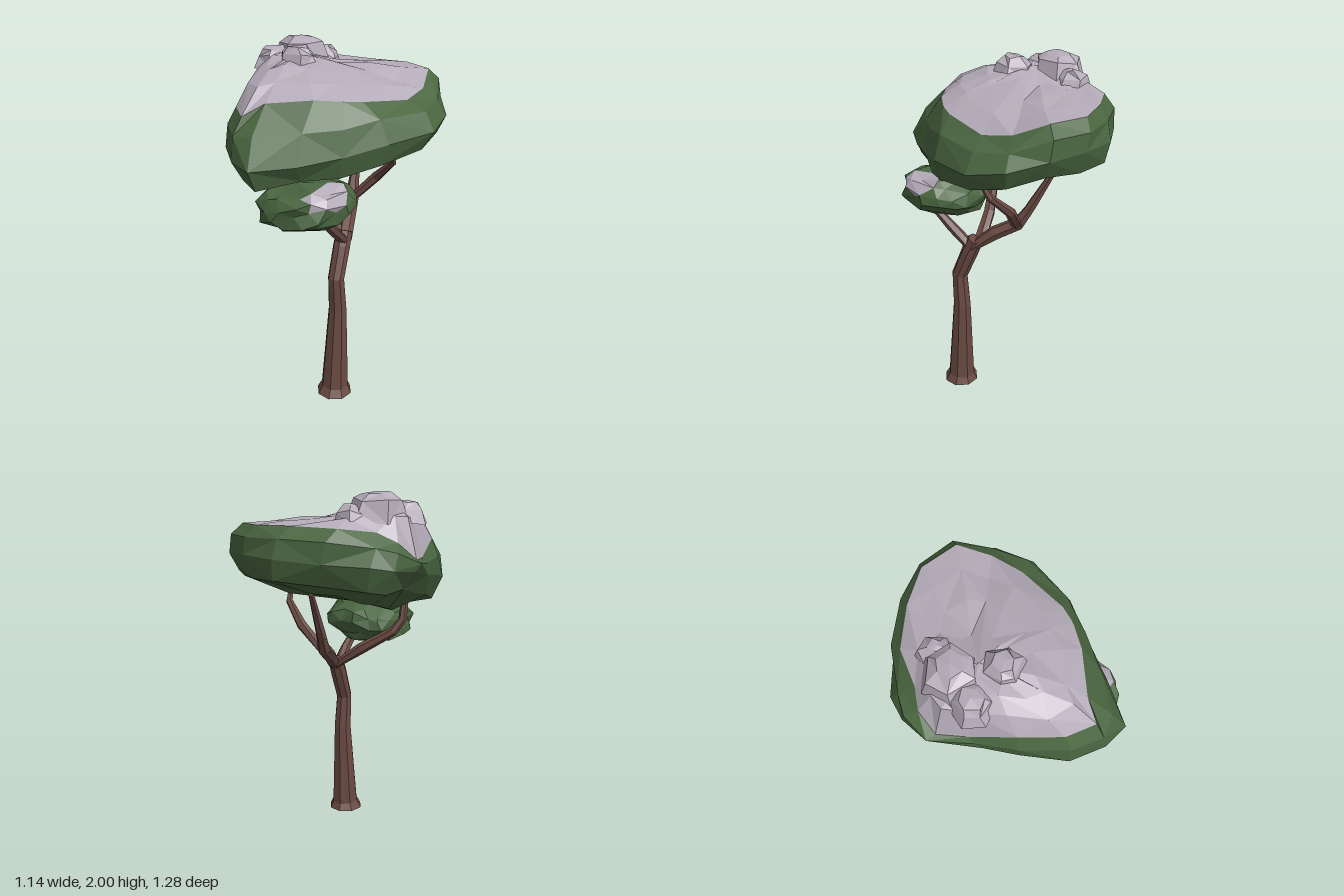
import * as THREE from 'three';

const bark = new THREE.MeshStandardMaterial({ color: 0x6a4a43 });
bark.name = 'bark brown';
const leaf = new THREE.MeshStandardMaterial({ color: 0x4a6640 });
leaf.name = 'leaf green';
const snow = new THREE.MeshStandardMaterial({ color: 0xb4abb8 });
snow.name = 'pale lavender';

const V = (x, y, z) => new THREE.Vector3(x, y, z);
const clamp01 = (t) => Math.min(1, Math.max(0, t));

// repeatable offset in -0.5..0.5 from a position
function hash(p, k) {
  const s = Math.sin(p.x * 127.1 + p.y * 311.7 + p.z * 74.7 + k * 53.3) * 43758.5453;
  return s - Math.floor(s) - 0.5;
}

function jitter(p, a) {
  const q = V(Math.round(p.x * 1e3) / 1e3 + 0, Math.round(p.y * 1e3) / 1e3 + 0, Math.round(p.z * 1e3) / 1e3 + 0);
  return V(p.x + hash(q, 1) * a, p.y + hash(q, 2) * a, p.z + hash(q, 3) * a);
}

// faceted mesh from a list of triangle corners
function facets(name, pts, material) {
  const g = new THREE.BufferGeometry().setFromPoints(pts);
  g.computeVertexNormals();
  const m = new THREE.Mesh(g, material);
  m.name = name;
  return m;
}

// skin over rings listed from bottom to top; a ring of one point closes an end
function loft(name, rings, material) {
  const n = Math.max(...rings.map((r) => r.length));
  const at = (r, i) => r[i % r.length];
  const out = [];
  for (let k = 0; k + 1 < rings.length; k++) {
    const lo = rings[k], hi = rings[k + 1];
    for (let i = 0; i < n; i++) {
      const a = at(lo, i), b = at(lo, i + 1), c = at(hi, i), d = at(hi, i + 1);
      if (lo.length === 1) out.push(a, c, d);
      else if (hi.length === 1) out.push(a, c, b);
      else if ((i + k) % 2) out.push(a, c, b, b, c, d);
      else out.push(a, c, d, a, d, b);
    }
  }
  return facets(name, out, material);
}

// tapered limb through [x, y, z, radius] stations
function limb(name, stations, sides) {
  const p = stations.map((s) => V(s[0], s[1], s[2]));
  const up = V(0, 1, 0);
  const rings = stations.map((s, i) => {
    const dir = p[Math.min(i + 1, p.length - 1)].clone().sub(p[Math.max(i - 1, 0)]).normalize();
    const q = new THREE.Quaternion();
    if (i > 0) q.setFromUnitVectors(up, dir);
    return Array.from({ length: sides }, (_, j) => {
      const a = ((j + 0.5) / sides) * Math.PI * 2;
      return V(Math.cos(a) * s[3], 0, Math.sin(a) * s[3]).applyQuaternion(q).add(p[i]);
    });
  });
  return loft(name, [[p[0]], ...rings, [p[p.length - 1]]], bark);
}

function buildWood() {
  const g = new THREE.Group();
  g.name = 'wood';
  g.add(
    limb('trunk', [[0.223, 0, 0.16, 0.104], [0.223, 0.045, 0.155, 0.081], [0.222, 0.55, 0.135, 0.053],
      [0.22, 0.75, 0.148, 0.047], [0.2, 0.92, 0.08, 0.049], [0.19, 1.0, 0.045, 0.045]], 8),
    limb('backBranch', [[0.2, 0.95, 0.06, 0.043], [0.14, 1.05, -0.05, 0.04],
      [0.07, 1.12, -0.165, 0.038], [0.04, 1.2, -0.21, 0.029]], 6),
    limb('backRightTwig', [[0.07, 1.1, -0.16, 0.034], [0.03, 1.24, -0.23, 0.028], [-0.02, 1.46, -0.34, 0.016]], 6),
    limb('backLeftTwig', [[0.07, 1.1, -0.16, 0.034], [0.2, 1.25, -0.215, 0.029], [0.33, 1.37, -0.19, 0.02],
      [0.36, 1.47, -0.14, 0.014]], 6),
    limb('sideBranch', [[0.18, 0.97, 0.03, 0.039], [0.02, 1.09, 0.09, 0.033], [-0.14, 1.2, 0.19, 0.027],
      [-0.175, 1.27, 0.23, 0.025], [-0.17, 1.42, 0.26, 0.021]], 6),
    limb('frontBranch', [[0.2, 0.94, 0.06, 0.037], [0.235, 1.05, 0.18, 0.03], [0.265, 1.18, 0.33, 0.019]], 6),
  );
  return g;
}

function buildCrown() {
  const g = new THREE.Group();
  g.name = 'crown';
  // widest outline, clockwise from the back
  const rim = [
    [0.16, 1.68, -0.645], [0.36, 1.67, -0.58], [0.5, 1.62, -0.43], [0.56, 1.58, -0.23], [0.48, 1.56, 0.05],
    [0.35, 1.51, 0.25], [0.22, 1.48, 0.45], [0.07, 1.47, 0.64], [-0.08, 1.48, 0.61], [-0.25, 1.5, 0.5],
    [-0.37, 1.54, 0.28], [-0.44, 1.56, 0.12], [-0.565, 1.61, -0.14], [-0.55, 1.62, -0.28], [-0.49, 1.64, -0.39],
    [-0.28, 1.65, -0.52], [-0.06, 1.67, -0.64],
  ].map((p) => V(...p));
  // border between the leaves and the pale cap, dipping on the right side
  const edge = [
    [0.1, 1.83, -0.6], [0.3, 1.83, -0.53], [0.38, 1.76, -0.37], [0.4, 1.73, -0.2], [0.33, 1.76, 0.08],
    [0.28, 1.77, 0.17], [0.18, 1.78, 0.28], [-0.01, 1.76, 0.43], [-0.08, 1.7, 0.53], [-0.22, 1.71, 0.44],
    [-0.35, 1.74, 0.26], [-0.455, 1.66, 0.05], [-0.53, 1.66, -0.09], [-0.5, 1.75, -0.2], [-0.42, 1.8, -0.27],
    [-0.31, 1.82, -0.43], [-0.1, 1.83, -0.54],
  ].map((p) => V(...p));

  const lower = rim.map((p) => {
    const s = 0.89 + 0.06 * clamp01((-p.z - 0.1) / 0.4);
    return jitter(V(p.x * s, p.y - 0.11, p.z * s), 0.035);
  });
  const under = rim.map((p) => jitter(V(p.x * 0.56, 1.365 - 0.19 * Math.min(p.z, 0), p.z * 0.56), 0.045));
  const shoulder = rim.map((p, i) => {
    const m = p.clone().lerp(edge[i], 0.5);
    return jitter(V(m.x * 1.04, m.y + 0.015, m.z * 1.04), 0.02);
  });
  g.add(loft('crownLeaves', [[V(-0.02, 1.385, 0)], under, lower, rim, shoulder, edge], leaf));

  // cap rising to a summit: a steep wall on the right and front, a flat shelf at the back
  const top = V(-0.2, 1.925, -0.05);
  const capRing = (t) => edge.map((p) => {
    const steep = 1.6 + 4.4 * clamp01((-p.x - 0.2) / 0.3) + 1.2 * clamp01((p.z - 0.1) / 0.3)
      - 1.1 * clamp01((-p.z - 0.2) / 0.3);
    const q = p.clone().lerp(top, t);
    q.y = p.y + (top.y - p.y) * (1 - (1 - t) ** steep);
    return jitter(q, 0.025);
  });
  g.add(loft('crownCap', [edge, capRing(0.22), capRing(0.47), capRing(0.75), [top]], snow));

  // flat-topped crags on the summit: x, z, top height, base radius, top radius
  const crags = [
    [-0.3, -0.14, 1.995, 0.15, 0.07],
    [-0.15, 0.05, 1.98, 0.12, 0.055],
    [-0.37, 0.02, 1.95, 0.11, 0.06],
    [-0.24, -0.26, 1.935, 0.1, 0.035],
  ];
  crags.forEach(([x, z, y, r0, r1]) => {
    const ring = (r, h, a) => Array.from({ length: 6 }, (_, i) => {
      const t = (i / 6) * Math.PI * 2 + x * 9;
      return jitter(V(x + Math.cos(t) * r, h, z + Math.sin(t) * r), a);
    });
    const rings = [ring(r0, 1.84, 0.03), ring((r0 + r1) * 0.55, y - 0.045, 0.03), ring(r1, y - 0.008, 0.016)];
    g.add(loft('summitCrag', [...rings, [V(x, y, z)]], snow));
  });
  return g;
}

function buildClump() {
  const g = new THREE.Group();
  g.name = 'lowerClump';
  const pos = new THREE.IcosahedronGeometry(1, 2).attributes.position;
  const size = V(0.235, 0.128, 0.25), center = V(0.145, 1.23, 0.295);
  // rough boxy ball leaning to the left at the top
  const corner = (i) => {
    const p = jitter(V(pos.getX(i), pos.getY(i), pos.getZ(i)), 0.24);
    const box = (v) => Math.sign(v) * Math.abs(v) ** 0.88;
    const q = V(box(p.x), box(p.y), box(p.z));
    q.x += 0.15 * q.y;
    return q.multiply(size).add(center);
  };
  const green = [], pale = [];
  // pale patch on the upper left corner
  for (let i = 0; i < pos.count; i += 3) {
    const t = [corner(i), corner(i + 1), corner(i + 2)];
    const c = t[0].clone().add(t[1]).add(t[2]).divideScalar(3);
    const patch = c.x > 0.25 && c.y > 1.26 && c.z > 0.24 && c.z < 0.47;
    (patch ? pale : green).push(...t);
  }
  g.add(facets('clumpLeaves', green, leaf), facets('clumpCap', pale, snow));
  return g;
}

export function createModel() {
  const tree = new THREE.Group();
  tree.name = 'tree';
  tree.add(buildWood(), buildCrown(), buildClump());
  return tree;
}
